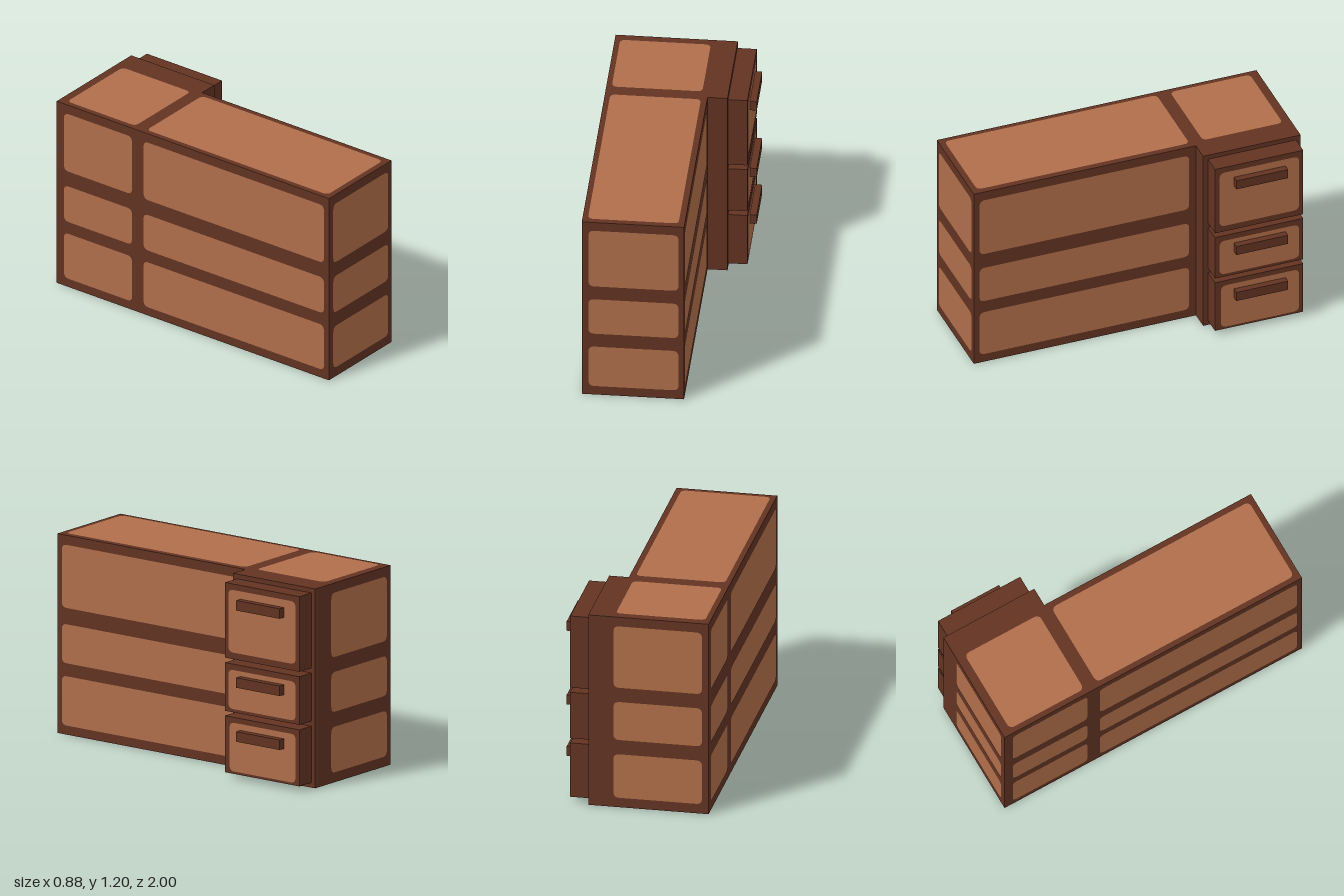
import * as THREE from 'three';

export function createModel() {
  const model = new THREE.Group();
  model.name = 'deskCabinet';

  const darkWood = new THREE.MeshStandardMaterial({ color: 0x623322 });
  darkWood.name = 'dark wood';
  const lightWood = new THREE.MeshStandardMaterial({ color: 0xb06e4a });
  lightWood.name = 'light wood';

  const add = (name, geometry, material) => {
    const mesh = new THREE.Mesh(geometry, material);
    mesh.name = name;
    model.add(mesh);
    return mesh;
  };

  // Box given by its limits on each axis
  const box = (name, [x0, x1], [y0, y1], [z0, z1]) => {
    const g = new THREE.BoxGeometry(x1 - x0, y1 - y0, z1 - z0);
    g.translate((x0 + x1) / 2, (y0 + y1) / 2, (z0 + z1) / 2);
    return add(name, g, darkWood);
  };

  // Rounded inlay, drawn in a face's own plane and then turned to that side
  const turns = {
    front: g => g,
    back: g => g.rotateY(Math.PI),
    right: g => g.rotateY(Math.PI / 2),
    left: g => g.rotateY(-Math.PI / 2),
    top: g => g.rotateX(-Math.PI / 2),
    bottom: g => g.rotateX(Math.PI / 2),
  };
  const inlay = (name, side, distance, [u0, u1], [v0, v1], r = 0.035) => {
    const s = new THREE.Shape();
    s.moveTo(u0 + r, v0);
    s.lineTo(u1 - r, v0);
    s.quadraticCurveTo(u1, v0, u1, v0 + r);
    s.lineTo(u1, v1 - r);
    s.quadraticCurveTo(u1, v1, u1 - r, v1);
    s.lineTo(u0 + r, v1);
    s.quadraticCurveTo(u0, v1, u0, v1 - r);
    s.lineTo(u0, v0 + r);
    s.quadraticCurveTo(u0, v0, u0 + r, v0);
    const g = new THREE.ShapeGeometry(s, 6);
    g.translate(0, 0, distance + 0.002);
    add(name, turns[side](g), lightWood);
  };

  // L-shaped body: long cabinet with the drawer housing at its rear right
  const plan = new THREE.Shape([
    [-0.437, -1], [0.163, -1], [0.163, 0.39], [0.28, 0.39], [0.28, 1], [-0.437, 1],
  ].map(([x, y]) => new THREE.Vector2(x, y)));
  const body = new THREE.ExtrudeGeometry(plan, { depth: 1.2, bevelEnabled: false });
  add('cabinetBody', body.rotateX(-Math.PI / 2), darkWood);

  // Three rows of inlays around the upright sides
  const rows = [[0.06, 0.335], [0.425, 0.665], [0.755, 1.143]];
  const rightRows = [[0.055, 0.352], [0.43, 0.665], [0.763, 1.143]];
  rows.forEach((row, i) => {
    inlay('frontPanel', 'front', 1, [-0.398, 0.13], row);
    inlay('backPanel', 'back', 1, [-0.13, 0.398], row);
    inlay('leftLongPanel', 'left', 0.437, [-0.36, 0.965], rightRows[i]);
    inlay('leftShortPanel', 'left', 0.437, [-0.945, -0.445], rightRows[i]);
    inlay('rightLongPanel', 'right', 0.163, [-0.965, 0.347], rightRows[i]);
  });

  // Two inlays each on the top and underside
  inlay('topLongPanel', 'top', 1.2, [-0.405, 0.127], [-0.965, 0.363]);
  inlay('topShortPanel', 'top', 1.2, [-0.405, 0.127], [0.447, 0.947]);
  inlay('bottomLongPanel', 'bottom', 0, [-0.405, 0.127], [-0.363, 0.965]);
  inlay('bottomShortPanel', 'bottom', 0, [-0.405, 0.127], [-0.947, -0.447]);

  // Drawers with inlaid fronts and bar handles
  const drawers = [
    { y: [0.03, 0.37], panel: [0.045, 0.338], handle: 0.27 },
    { y: [0.40, 0.69], panel: [0.42, 0.655], handle: 0.595 },
    { y: [0.72, 1.172], panel: [0.76, 1.137], handle: 1.06 },
  ];
  drawers.forEach(({ y, panel, handle }, i) => {
    box('drawer', [0.28, 0.394], y, [-0.972, -0.42]);
    inlay('drawerPanel', 'right', 0.394, [i === 0 ? 0.457 : 0.448, 0.945], panel);
    box('drawerHandle', [0.395, 0.437], [handle - 0.03, handle + 0.03], [-0.86, -0.537]);
  });

  return model;
}
